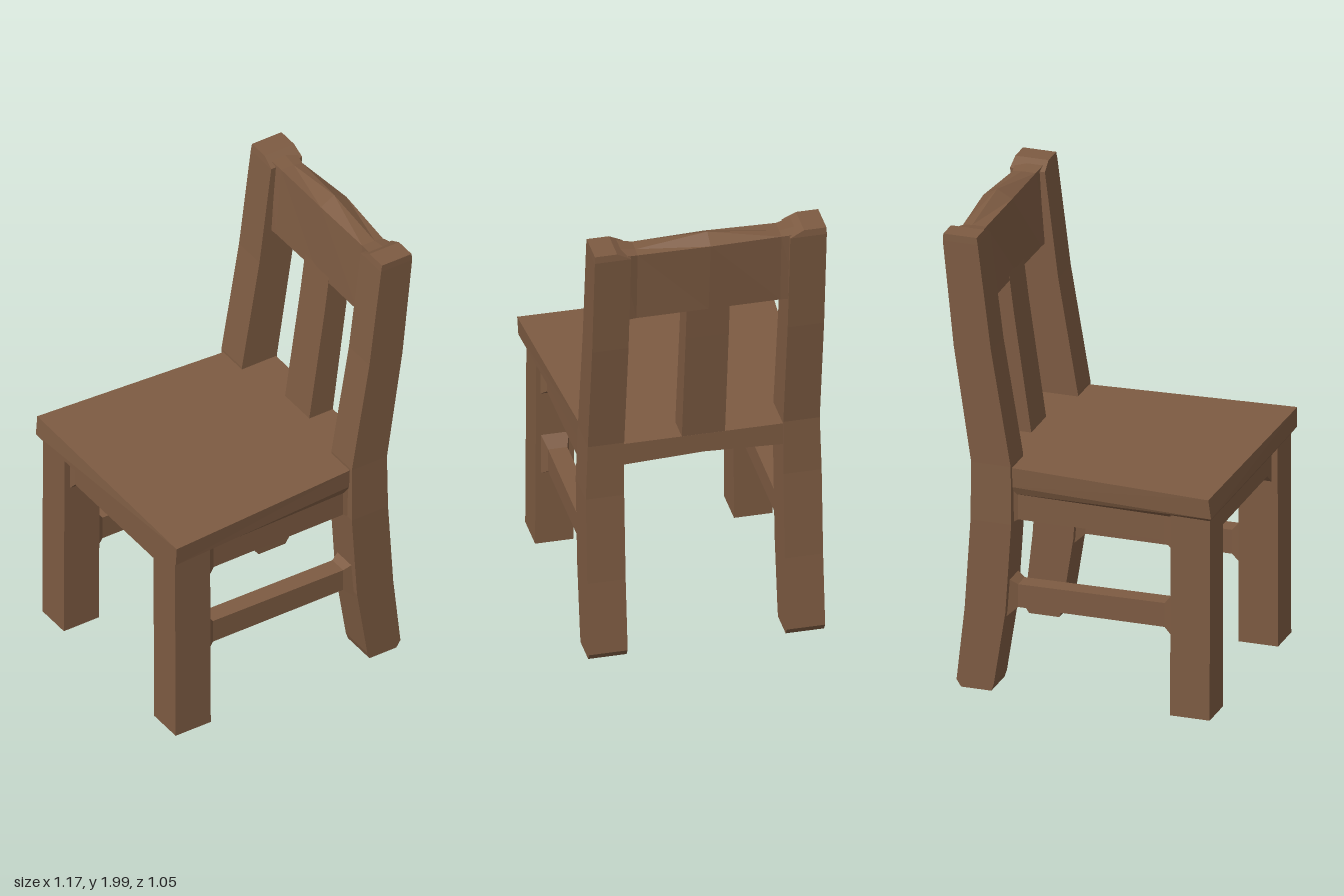
import * as THREE from 'three';

const wood = new THREE.MeshStandardMaterial({ color: 0x7d5b42 });
wood.name = 'brown wood';

// Each axis pairs with the next two in cyclic order, so rings run counter-clockwise along it.
const toPoint = {
  x: (t, [y, z]) => [t, y, z],
  y: (t, [z, x]) => [x, t, z],
  z: (t, [x, y]) => [x, y, t],
};
const rect = (a0, a1, b0, b1) => [[a0, b0], [a1, b0], [a1, b1], [a0, b1]];

// Faceted solid through cross-sections [position, ring] along an axis
function loft(name, axis, sections) {
  const rings = sections.map(([t, ring]) => ring.map((p) => toPoint[axis](t, p)));
  const n = rings[0].length;
  const pos = [];
  const tri = (a, b, c) => pos.push(...a, ...b, ...c);
  for (let s = 0; s < rings.length - 1; s++) {
    const p = rings[s], q = rings[s + 1];
    for (let i = 0; i < n; i++) {
      const j = (i + 1) % n;
      tri(p[i], p[j], q[j]);
      tri(p[i], q[j], q[i]);
    }
  }
  const first = rings[0], last = rings[rings.length - 1];
  for (let i = 1; i < n - 1; i++) {
    tri(first[0], first[i + 1], first[i]);
    tri(last[0], last[i], last[i + 1]);
  }
  const geo = new THREE.BufferGeometry();
  geo.setAttribute('position', new THREE.Float32BufferAttribute(pos, 3));
  geo.computeVertexNormals();
  const mesh = new THREE.Mesh(geo, wood);
  mesh.name = name;
  return mesh;
}

export function createModel() {
  const chair = new THREE.Group();
  chair.name = 'chair';
  const add = (...args) => chair.add(loft(...args));

  // Seat board, wider at the front, on a tapering underside
  add('seat', 'y', [
    [0.87, [[-0.47, -0.56], [0.47, -0.56], [0.45, 0.31], [-0.45, 0.31]]],
    [0.905, [[-0.52, -0.585], [0.52, -0.585], [0.465, 0.31], [-0.465, 0.31]]],
    [0.99, [[-0.525, -0.575], [0.525, -0.585], [0.468, 0.31], [-0.468, 0.31]]],
  ]);
  add('rearSeatRail', 'z', [
    [-0.36, rect(0.29, 0.455, 0.89, 0.99)],
    [0, rect(0.29, 0.455, 0.905, 0.99)],
    [0.36, rect(0.29, 0.455, 0.89, 0.99)],
  ]);

  for (const [side, s] of [['left', 1], ['right', -1]]) {
    // z range of a part, mirrored to the other side
    const zs = (a, b) => (s > 0 ? [a, b] : [-b, -a]);

    add(side + 'FrontLeg', 'y', [
      [0.01, rect(...zs(0.335, 0.495), -0.57, -0.4)],
      [0.89, rect(...zs(0.33, 0.49), -0.57, -0.4)],
    ]);

    // Rear leg and back post in one bent piece, top sloping inwards
    const post = [
      [0.01, 0.37, 0.5], [0.04, 0.36, 0.52], [0.36, 0.31, 0.485], [0.75, 0.285, 0.46],
      [1.0, 0.29, 0.46], [1.5, 0.375, 0.535], [1.955, 0.432, 0.582],
    ].map(([y, x0, x1]) => [y, rect(...zs(0.332, y < 1 ? 0.492 : 0.484), x0, x1)]);
    post.push([1.985, rect(...zs(0.39, 0.483), 0.437, 0.58)]);
    add(side + 'RearLegAndPost', 'y', post);

    // Side rail and stretcher flare where they meet the legs
    add(side + 'SideRail', 'x', [
      [-0.42, rect(0.71, 0.9, ...zs(0.345, 0.48))],
      [-0.36, rect(0.76, 0.9, ...zs(0.365, 0.455))],
      [0.27, rect(0.76, 0.9, ...zs(0.365, 0.45))],
      [0.32, rect(0.73, 0.9, ...zs(0.35, 0.475))],
    ]);
    add(side + 'Stretcher', 'x', [
      [-0.41, rect(0.34, 0.54, ...zs(0.35, 0.475))],
      [-0.36, rect(0.375, 0.48, ...zs(0.37, 0.45))],
      [0.27, rect(0.375, 0.475, ...zs(0.37, 0.45))],
      [0.33, rect(0.32, 0.515, ...zs(0.35, 0.475))],
    ]);
  }

  add('frontRail', 'z', [
    [-0.35, rect(-0.55, -0.42, 0.71, 0.9)],
    [-0.305, rect(-0.535, -0.44, 0.765, 0.9)],
    [0.305, rect(-0.535, -0.44, 0.765, 0.9)],
    [0.35, rect(-0.55, -0.42, 0.71, 0.9)],
  ]);

  // Back: centre slat and peaked top rail
  add('backSlat', 'y', [
    [0.97, rect(-0.09, 0.09, 0.338, 0.452)],
    [1.5, rect(-0.09, 0.09, 0.415, 0.52)],
    [1.68, rect(-0.09, 0.09, 0.438, 0.54)],
  ]);
  const railEnd = [[0.43, 1.642], [0.548, 1.642], [0.575, 1.965], [0.52, 1.972], [0.45, 1.972]];
  const railSide = [[0.435, 1.642], [0.54, 1.642], [0.56, 1.955], [0.52, 1.96], [0.46, 1.96]];
  const railPeak = [[0.435, 1.645], [0.545, 1.645], [0.58, 1.965], [0.52, 2.0], [0.455, 1.965]];
  add('topRail', 'z', [
    [-0.37, railEnd], [-0.3, railSide], [0, railPeak], [0.3, railSide], [0.37, railEnd],
  ]);

  return chair;
}
